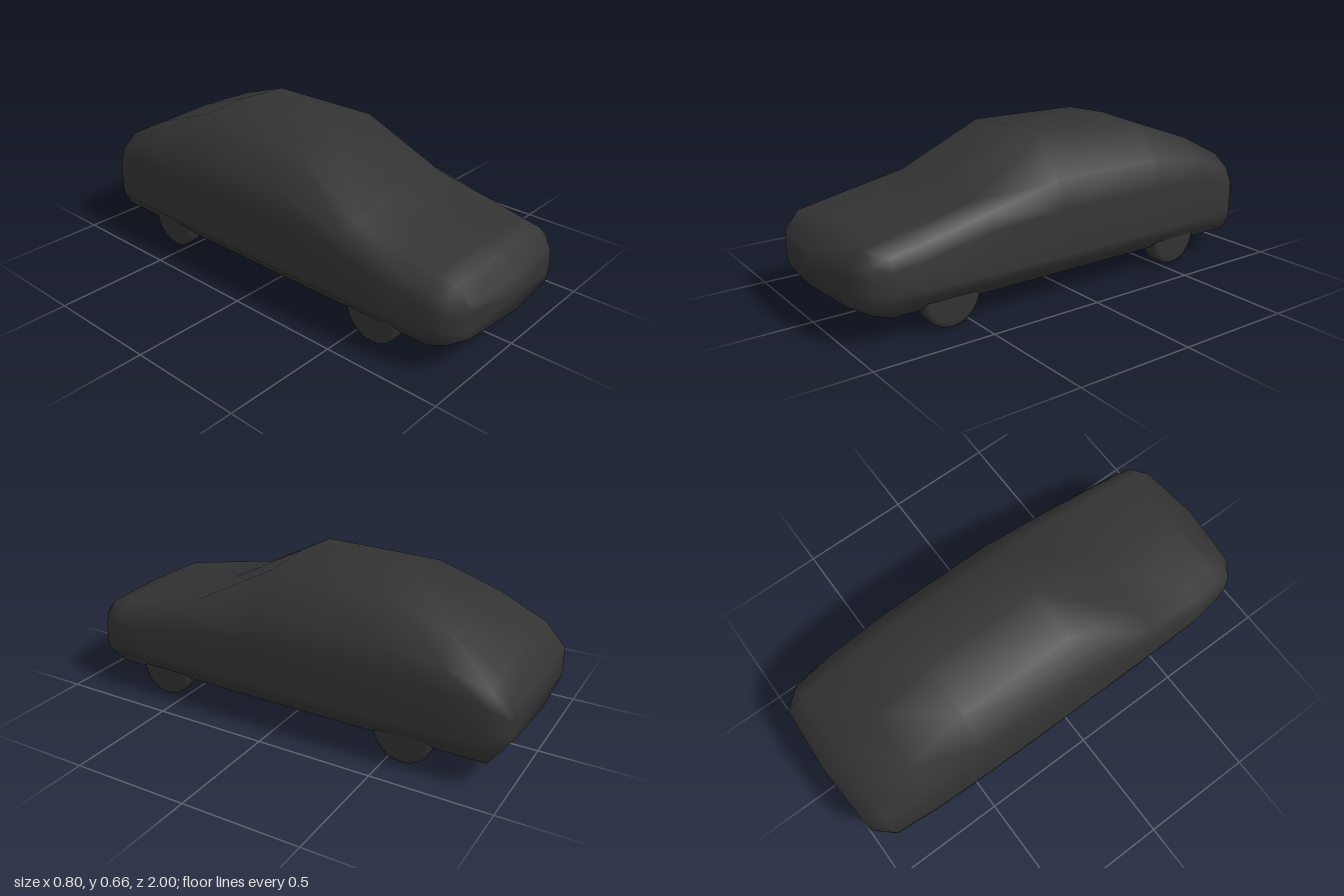
import * as THREE from 'three';

// Hull stations, nose to tail: z, then half cross-section as x,y pairs
// (bottom edge, sill, lower side, waist, shoulder, roof edge), then bottom and roof height on the centre line
const stations = [
  { z: 1.0, half: [[.27, .15], [.285, .175], [.29, .21], [.29, .25], [.285, .275], [.275, .295]], low: .15, high: .30 },
  { z: .915, half: [[.33, .122], [.355, .155], [.36, .19], [.358, .26], [.345, .31], [.29, .36]], low: .122, high: .37 },
  { z: .84, half: [[.34, .097], [.37, .15], [.376, .19], [.37, .28], [.35, .33], [.29, .375]], low: .097, high: .386 },
  { z: .71, half: [[.34, .096], [.39, .157], [.395, .19], [.383, .30], [.355, .355], [.29, .402]], low: .096, high: .413 },
  { z: .44, half: [[.34, .096], [.395, .158], [.399, .19], [.386, .35], [.358, .415], [.285, .457]], low: .096, high: .47 },
  { z: .09, half: [[.34, .095], [.396, .158], [.4, .19], [.386, .38], [.356, .49], [.232, .642]], low: .095, high: .657 },
  { z: -.44, half: [[.34, .095], [.394, .158], [.398, .19], [.385, .38], [.354, .488], [.232, .636]], low: .095, high: .648 },
  { z: -.71, half: [[.34, .095], [.386, .158], [.39, .19], [.38, .37], [.35, .455], [.255, .54]], low: .095, high: .55 },
  { z: -.905, half: [[.34, .096], [.37, .155], [.375, .2], [.37, .33], [.345, .385], [.275, .438]], low: .096, high: .45 },
  { z: -1.0, half: [[.29, .195], [.305, .215], [.31, .24], [.31, .28], [.305, .31], [.29, .34]], low: .195, high: .35 },
];
const RING = 14;
const OPEN_FROM = 2, OPEN_TO = stations.length - 2;

// Closed ring of points; the nose and tail rings bow back towards the sides
function ringPoints({ z, half, low, high }) {
  const bow = z === 1 ? .09 : z === -1 ? -.05 : 0;
  const right = half.map(([x, y]) => [x, y, z - bow * x]);
  const left = right.map(([x, y, d]) => [-x, y, d]).reverse();
  return [[0, low, z], ...right, [0, high, z], ...left];
}

// Smooth hollow shell, open underneath between the nose and tail undersides
function shellGeometry() {
  const positions = stations.flatMap(s => ringPoints(s).flat());
  const index = [];
  for (let k = 0; k < stations.length - 1; k++) {
    for (let i = 0; i < RING; i++) {
      const isBottom = i === 0 || i === RING - 1;
      if (isBottom && k >= OPEN_FROM && k < OPEN_TO) continue;
      const j = (i + 1) % RING;
      const a = k * RING + i, b = k * RING + j, c = a + RING, d = b + RING;
      index.push(a, c, b, b, c, d);
    }
  }
  // Nose and tail faces
  const last = (stations.length - 1) * RING;
  const nose = stations.length * RING, tail = nose + 1;
  positions.push(0, .225, 1, 0, .27, -1);
  for (let i = 0; i < RING; i++) {
    const j = (i + 1) % RING;
    index.push(nose, i, j, tail, last + j, last + i);
  }
  const geometry = new THREE.BufferGeometry();
  geometry.setAttribute('position', new THREE.Float32BufferAttribute(positions, 3));
  geometry.setIndex(index);
  geometry.computeVertexNormals();
  return geometry;
}

// Lower half of a rounded wheel: closed outer face, hollow inner face
function halfWheelGeometry() {
  const profile = [[.075, -.02], [.085, -.039], [.105, -.039], [.125, -.025],
    [.125, .026], [.105, .039], [0, .039]];
  const points = profile.map(([r, y]) => new THREE.Vector2(r, y));
  return new THREE.LatheGeometry(points, 16, Math.PI, Math.PI).rotateZ(Math.PI / 2);
}

export function createModel() {
  const car = new THREE.Group();
  car.name = 'car';
  const charcoal = new THREE.MeshStandardMaterial({ color: 0x333333, side: THREE.DoubleSide });
  charcoal.name = 'charcoal';

  const add = (name, geometry) => {
    const mesh = new THREE.Mesh(geometry, charcoal);
    mesh.name = name;
    car.add(mesh);
    return mesh;
  };

  add('bodyShell', shellGeometry());

  // Four half wheels below the sills, the left pair turned to face outwards
  const wheel = halfWheelGeometry();
  for (const [end, z] of [['front', .59], ['rear', -.565]]) {
    for (const [side, x, turn] of [['Left', .324, Math.PI], ['Right', -.324, 0]]) {
      const mesh = add(end + side + 'Wheel', wheel);
      mesh.position.set(x, .125, z);
      mesh.rotation.y = turn;
    }
  }
  return car;
}
